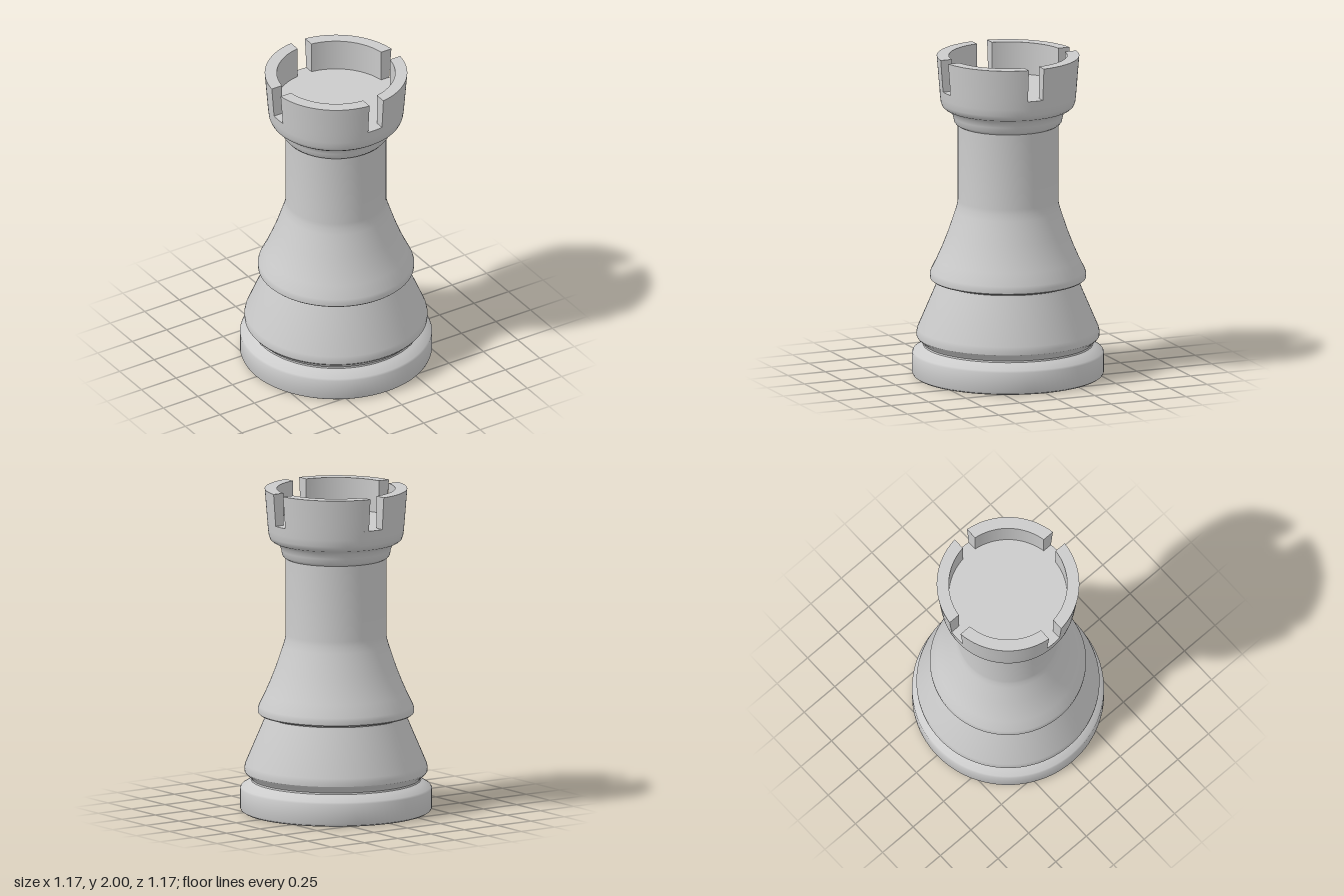
import * as THREE from 'three';
import { toCreasedNormals } from 'three/addons/utils/BufferGeometryUtils.js';

const FLOOR = 1.8, TOP = 2, INNER = 0.362;
const material = new THREE.MeshStandardMaterial({ color: 0xcccccc });

// Spins a profile of [radius, height] pairs, listed bottom to top.
function turned(name, profile) {
  const points = profile.map(([r, y]) => new THREE.Vector2(r, y));
  const mesh = new THREE.Mesh(toCreasedNormals(new THREE.LatheGeometry(points, 96), 0.55), material);
  mesh.name = name;
  return mesh;
}

// Bends a box into a wall segment with parallel-sided slots at both ends.
function battlement(quarter, startGap, endGap) {
  const geometry = new THREE.BoxGeometry(1, 1, 1, 24, 4, 1);
  const pos = geometry.attributes.position;
  for (let i = 0; i < pos.count; i++) {
    const along = 0.5 - pos.getX(i);
    const up = pos.getY(i) + 0.5;
    const r = pos.getZ(i) > 0 ? 0.42 + 0.016 * up : INNER;
    const start = quarter * Math.PI / 2 + Math.asin(startGap / r);
    const end = (quarter + 1) * Math.PI / 2 - Math.asin(endGap / r);
    const angle = THREE.MathUtils.lerp(start, end, along);
    pos.setXYZ(i, r * Math.cos(angle), FLOOR + up * (TOP - FLOOR), r * Math.sin(angle));
  }
  const mesh = new THREE.Mesh(toCreasedNormals(geometry, 0.55), material);
  mesh.name = 'battlement' + (quarter + 1);
  return mesh;
}

export function createModel() {
  const group = new THREE.Group();
  group.name = 'rook';

  // Foot disc, groove, lower cone, collar, flared waist, straight neck and flat-floored head
  group.add(turned('body', [
    [0, 0], [0.57, 0], [0.582, 0.008], [0.587, 0.02], [0.587, 0.14], [0.58, 0.152],
    [0.535, 0.18], [0.519, 0.19], [0.517, 0.2], [0.525, 0.213], [0.55, 0.232], [0.559, 0.245],
    [0.56, 0.27], [0.554, 0.295], [0.435, 0.575], [0.43, 0.59], [0.44, 0.596],
    [0.468, 0.602], [0.477, 0.61], [0.478, 0.635], [0.472, 0.655],
    [0.435, 0.73], [0.4, 0.81], [0.369, 0.89], [0.342, 0.97], [0.322, 1.03], [0.311, 1.07], [0.308, 1.1],
    [0.308, 1.57], [0.32, 1.578], [0.33, 1.59], [0.335, 1.62], [0.345, 1.65],
    [0.358, 1.664], [0.385, 1.674], [0.402, 1.688], [0.411, 1.71], [0.416, 1.75],
    [0.42, FLOOR], [INNER, FLOOR], [0, FLOOR],
  ]));

  // Four battlements; the front slot sits slightly off centre
  const gaps = [[0.05, 0.07], [0.033, 0.05], [0.05, 0.05], [0.05, 0.05]];
  gaps.forEach(([start, end], quarter) => group.add(battlement(quarter, start, end)));
  return group;
}
